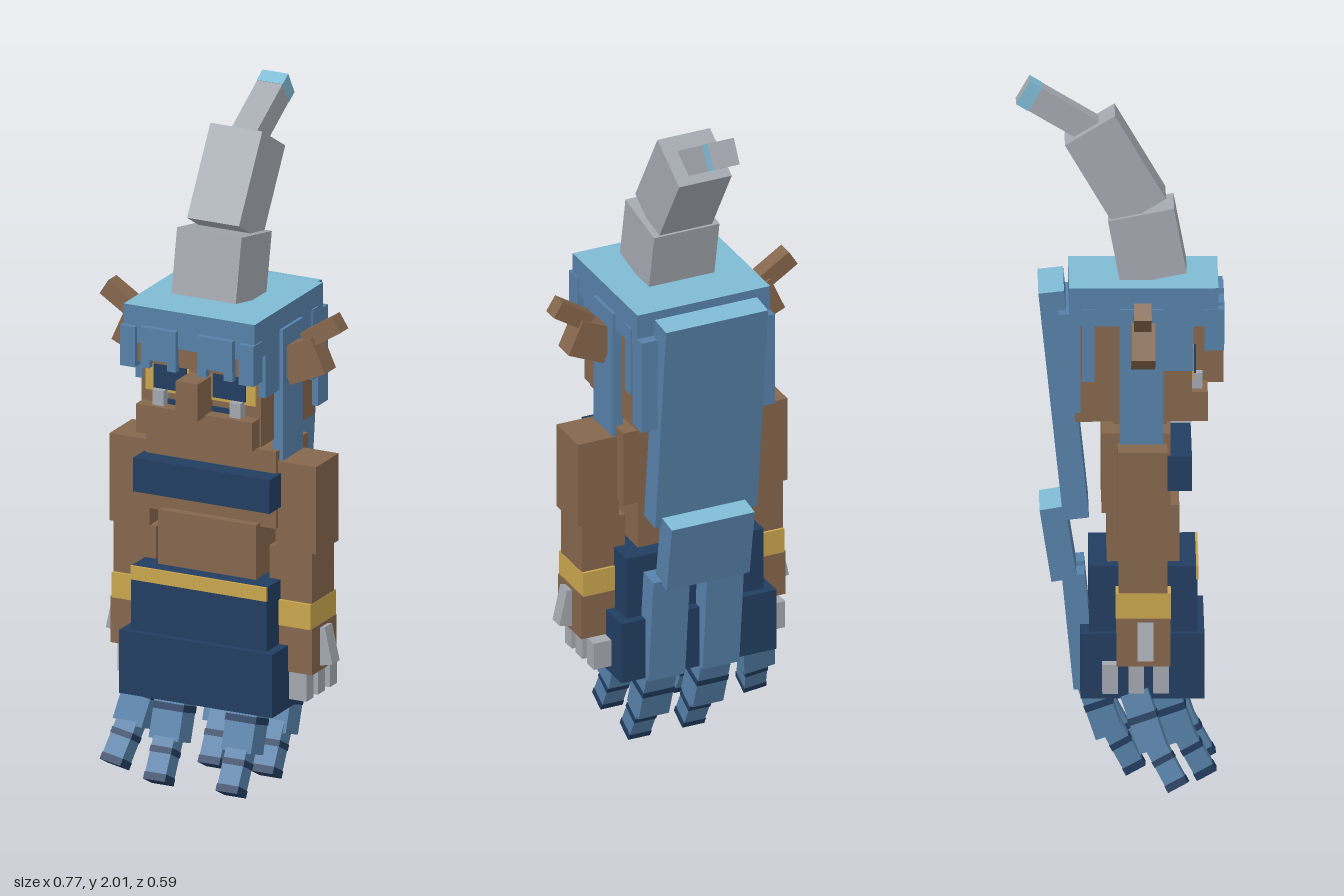
import * as THREE from 'three';

const mat = (name, color) => {
  const m = new THREE.MeshStandardMaterial({ color });
  m.name = name;
  return m;
};

export function createModel() {
  const skin = mat('skin', 0x85664d), blue = mat('hair blue', 0x5681a9), pale = mat('pale blue', 0x7fbad4),
    navy = mat('navy cloth', 0x213d60), gold = mat('gold', 0xc9a64d), grey = mat('horn grey', 0xa3a8af);
  const model = new THREE.Group();
  model.name = 'hornedCreature';
  const capped = [blue, blue, pale, blue, blue, blue]; // blue hair with a pale top face

  // box from centre, size and rotation
  const box = (name, m, c, s, r = [0, 0, 0], parent = model) => {
    const mesh = new THREE.Mesh(new THREE.BoxGeometry(...s), m);
    mesh.name = name;
    mesh.position.set(...c);
    mesh.rotation.set(...r);
    parent.add(mesh);
    return mesh;
  };
  // box from its limits on each axis
  const span = (name, m, x, y, z) => box(name, m,
    [(x[0] + x[1]) / 2, (y[0] + y[1]) / 2, (z[0] + z[1]) / 2], [x[1] - x[0], y[1] - y[0], z[1] - z[0]]);
  // the same box on both sides
  const pair = (name, m, x, y, z) => {
    span(name + 'Left', m, x, y, z);
    span(name + 'Right', m, [-x[1], -x[0]], y, z);
  };

  // Curved horn with a pale band at the tip
  box('hornBase', grey, [0, 1.535, 0.075], [0.205, 0.19, 0.19], [-0.19, 0, 0]);
  box('hornMiddle', grey, [0, 1.748, -0.015], [0.165, 0.28, 0.165], [-0.54, 0, 0]);
  const tip = box('hornTip', grey, [0, 1.912, -0.178], [0.08, 0.226, 0.075], [-1.04, 0, 0]);
  box('hornBand', [pale, pale, grey, grey, pale, pale], [0, 0.0935, 0], [0.082, 0.041, 0.077], [0, 0, 0], tip);

  // Head and face
  span('head', skin, [-0.19, 0.19], [1.05, 1.34], [-0.13, 0.2]);
  span('brow', skin, [-0.19, 0.19], [1.275, 1.335], [0.19, 0.272]);
  span('snout', skin, [-0.185, 0.185], [1.05, 1.135], [0.19, 0.245]);
  span('nose', skin, [-0.035, 0.035], [1.13, 1.24], [0.19, 0.29]);
  span('neck', skin, [-0.085, 0.085], [1.0, 1.06], [-0.02, 0.13]);
  span('mouthLine', navy, [-0.11, 0.11], [1.135, 1.15], [0.2, 0.206]);
  pair('eyeRim', gold, [0.036, 0.175], [1.17, 1.262], [0.2, 0.206]);
  pair('eye', navy, [0.042, 0.145], [1.18, 1.272], [0.206, 0.212]);
  pair('tusk', grey, [0.105, 0.14], [1.135, 1.18], [0.2, 0.23]);

  // Hair cap, fringe and locks
  span('hairCap', capped, [-0.208, 0.208], [1.33, 1.44], [-0.147, 0.275]);
  pair('fringe', blue, [0.035, 0.145], [1.29, 1.385], [0.272, 0.292]);
  for (const x of [0.048, 0.132]) pair('fringeEnd', blue, [x - 0.014, x + 0.014], [1.265, 1.29], [0.272, 0.292]);
  pair('cornerLock', blue, [0.165, 0.212], [1.26, 1.38], [0.235, 0.29]);
  pair('templeLock', blue, [0.185, 0.207], [1.2, 1.38], [0.12, 0.205]);
  pair('sideLock', blue, [0.185, 0.218], [0.99, 1.38], [-0.005, 0.12]);
  pair('rearLock', blue, [0.185, 0.212], [1.17, 1.38], [-0.11, -0.075]);
  span('backHair', blue, [-0.208, 0.208], [1.08, 1.365], [-0.177, -0.115]);

  // Two-part tail of hair down the back
  box('hairTail', capped, [0, 1.09, -0.162], [0.32, 0.66, 0.073], [-0.107, 0, 0]);
  box('hairTailEnd', capped, [0.01, 0.68, -0.177], [0.26, 0.21, 0.073], [-0.16, 0, 0]);

  // Ears
  for (const s of [1, -1]) {
    box('earBase', skin, [s * 0.262, 1.285, 0.062], [0.12, 0.11, 0.068], [0, 0, -s * 0.42 + s * 0.84]);
    box('earTip', skin, [s * 0.318, 1.375, 0.06], [0.12, 0.052, 0.05], [0, 0, s * 0.57]);
  }

  // Torso and clothing
  span('chest', skin, [-0.207, 0.207], [0.79, 1.02], [-0.055, 0.14]);
  span('chestWrap', navy, [-0.217, 0.217], [0.855, 0.955], [0.11, 0.2]);
  span('belly', skin, [-0.155, 0.155], [0.6, 0.8], [-0.04, 0.165]);
  span('skirtTop', navy, [-0.215, 0.215], [0.44, 0.638], [-0.09, 0.215]);
  span('belt', gold, [-0.216, 0.216], [0.598, 0.639], [0.212, 0.219]);
  span('skirt', navy, [-0.243, 0.243], [0.26, 0.448], [-0.115, 0.235]);

  // Arms, hands and claws
  pair('upperArm', skin, [0.2, 0.328], [0.73, 0.99], [-0.01, 0.13]);
  pair('forearm', skin, [0.18, 0.315], [0.575, 0.735], [-0.008, 0.13]);
  pair('bracelet', gold, [0.19, 0.316], [0.505, 0.58], [-0.016, 0.14]);
  pair('hand', skin, [0.2, 0.32], [0.37, 0.508], [-0.014, 0.138]);
  for (const z of [0.112, 0.042, -0.032]) pair('claw', grey, [0.245, 0.3], [0.287, 0.37], [z - 0.022, z + 0.022]);
  for (const s of [1, -1]) box('thumbClaw', grey, [s * 0.326, 0.443, 0.068], [0.045, 0.11, 0.045], [0, 0, s * 0.22]);

  // Tentacles: two bent joints with navy bands and a navy tip
  const tentacle = (name, upper, lower, tilt) => {
    const a = box(name + 'Upper', blue, upper, [0.095, 0.17, 0.08], [-0.33, 0, tilt]);
    const b = box(name + 'Lower', blue, lower, [0.066, 0.155, 0.06], [-0.5, 0, tilt]);
    box('band', navy, [0, 0.01, 0], [0.098, 0.02, 0.083], [0, 0, 0], a);
    box('band', navy, [0, 0.012, 0], [0.069, 0.018, 0.063], [0, 0, 0], b);
    box('tentacleTip', navy, [0, -0.067, 0], [0.069, 0.022, 0.063], [0, 0, 0], b);
  };
  for (const s of [1, -1]) tentacle('frontTentacle', [s * 0.115, 0.2, 0.145], [s * 0.115, 0.083, 0.205], 0);
  tentacle('sideTentacle', [-0.258, 0.2, 0.065], [-0.283, 0.083, 0.125], -0.17);
  for (const x of [0.11, -0.06]) {
    box('hairStrand', blue, [x, 0.425, -0.118], [0.115, 0.33, 0.065], [-0.1, 0, 0]);
    tentacle('rearTentacle', [x + 0.01, 0.2, -0.06], [x + 0.015, 0.083, 0.005], 0);
  }
  return model;
}
